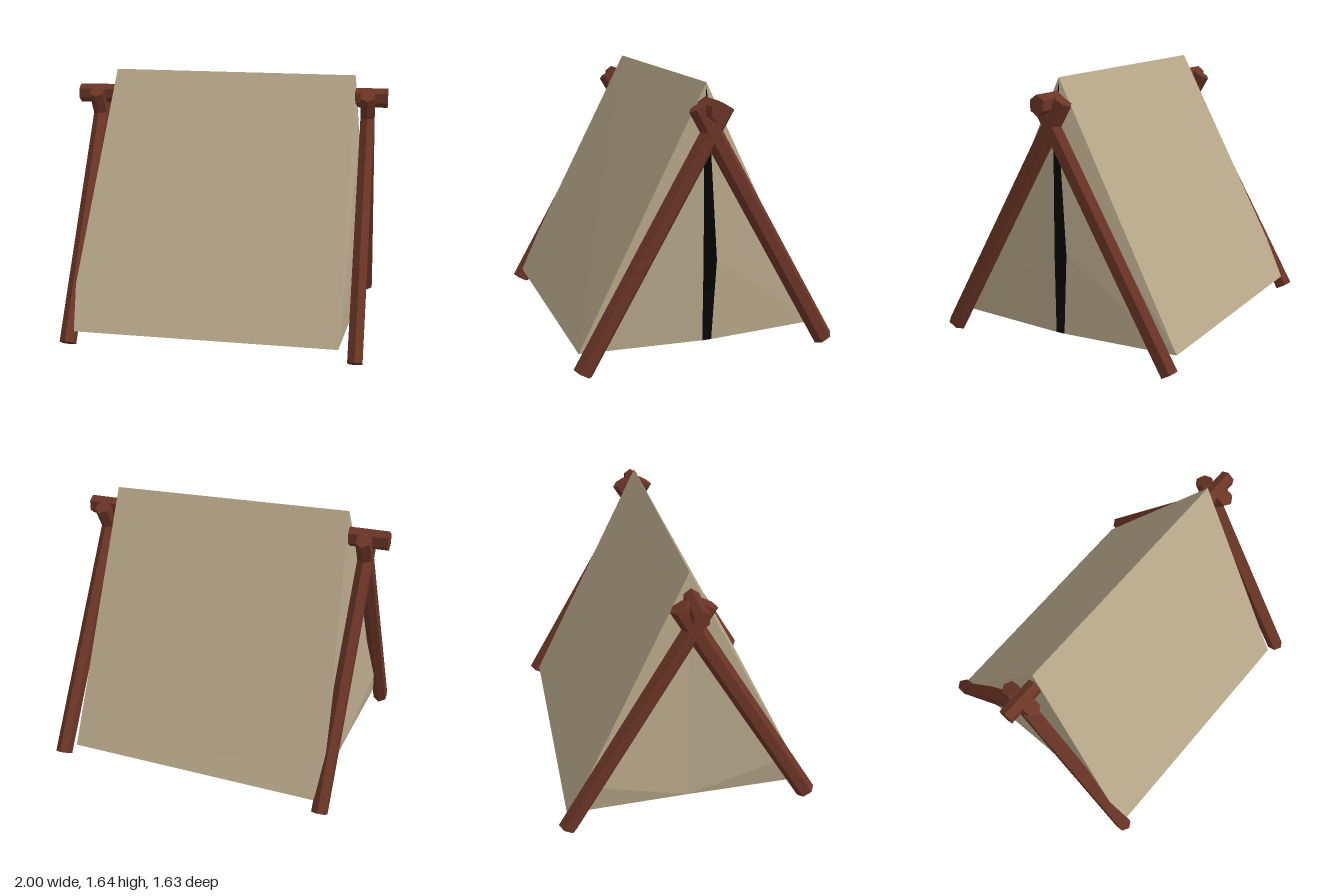
import * as THREE from 'three';

const wood = new THREE.MeshStandardMaterial({ color: 0x6b3526, flatShading: true });
const cloth = new THREE.MeshStandardMaterial({ color: 0xb8a88a, flatShading: true, side: THREE.DoubleSide });
const dark = new THREE.MeshStandardMaterial({ color: 0x050505, flatShading: true, side: THREE.DoubleSide });

// Flat sheet: triangle fan spreading from the first corner
function sheet(name, material, points) {
  const corners = [];
  for (let i = 1; i < points.length - 1; i++) corners.push(...points[0], ...points[i], ...points[i + 1]);
  const geometry = new THREE.BufferGeometry();
  geometry.setAttribute('position', new THREE.Float32BufferAttribute(corners, 3));
  geometry.computeVertexNormals();
  const mesh = new THREE.Mesh(geometry, material);
  mesh.name = name;
  return mesh;
}

// Slightly flattened six-sided pole along y
function poleGeometry(length) {
  return new THREE.CylinderGeometry(0.06, 0.06, length, 6).scale(0.83, 1, 1);
}

export function createModel() {
  const model = new THREE.Group();

  // Ridge pole, an edge pointing up
  const ridge = new THREE.Mesh(poleGeometry(2).rotateY(Math.PI / 2).rotateZ(Math.PI / 2), wood);
  ridge.name = 'ridgePole';
  ridge.position.set(0, 1.492, 0.009);
  model.add(ridge);

  // Two crossed legs at each end
  const foot = { z: 0.765, y: 0.035 }, tip = { z: -0.083, y: 1.509 };
  const run = foot.z - tip.z, rise = tip.y - foot.y;
  for (const x of [-0.866, 0.878]) {
    const frame = new THREE.Group();
    frame.name = x < 0 ? 'rightFrame' : 'leftFrame';
    for (const s of [1, -1]) {
      const leg = new THREE.Mesh(poleGeometry(Math.hypot(run, rise)), wood);
      leg.name = s > 0 ? 'frontLeg' : 'backLeg';
      leg.position.set(x, (foot.y + tip.y) / 2, s * (foot.z + tip.z) / 2);
      leg.rotation.x = -s * Math.atan2(run, rise);
      frame.add(leg);
    }
    model.add(frame);
  }

  // Canvas
  const canvas = new THREE.Group();
  canvas.name = 'canvas';
  const base = 0.11;
  const topA = [-0.75, 1.65, 0], topB = [0.797, 1.63, 0];
  const floorTip = [-0.47, base, 0];
  const midBase = [-0.82, base, 0];
  for (const s of [1, -1]) {
    const side = s > 0 ? 'front' : 'back';
    const bend = [-0.855, 0.33, s * 0.65];
    const cornerA = [-0.825, base, s * 0.76];
    const cornerB = [0.78, base, s * 0.76];
    // Roof slope
    canvas.add(sheet(side + 'Slope', cloth, [cornerB, topB, topA, bend, cornerA]));
    // Closed end
    canvas.add(sheet(side + 'ClosedEnd', cloth, [midBase, topA, bend, cornerA]));
    // Door flap with its slit edge
    const slit = s > 0
      ? [[0.83, 1.24, 0.022], [0.84, 0.6, 0.022], [0.835, base, 0.022]]
      : [[0.83, 1.24, -0.02], [0.84, 0.6, -0.062], [0.835, base, -0.035]];
    canvas.add(sheet(side + 'DoorFlap', cloth, [cornerB, topB, ...slit]));
    // Floor beside the dark opening
    canvas.add(sheet(side + 'Floor', cloth, [floorTip, cornerB, cornerA, midBase]));
    // Dark hollow behind the door
    canvas.add(sheet(side + 'HollowFloor', dark, [floorTip, cornerB, slit[2], [0.835, base, 0]]));
    canvas.add(sheet(side + 'HollowWall', dark, [floorTip, [0.78, base, s * 0.75], [0.79, 1.6, 0]]));
  }
  model.add(canvas);
  return model;
}
